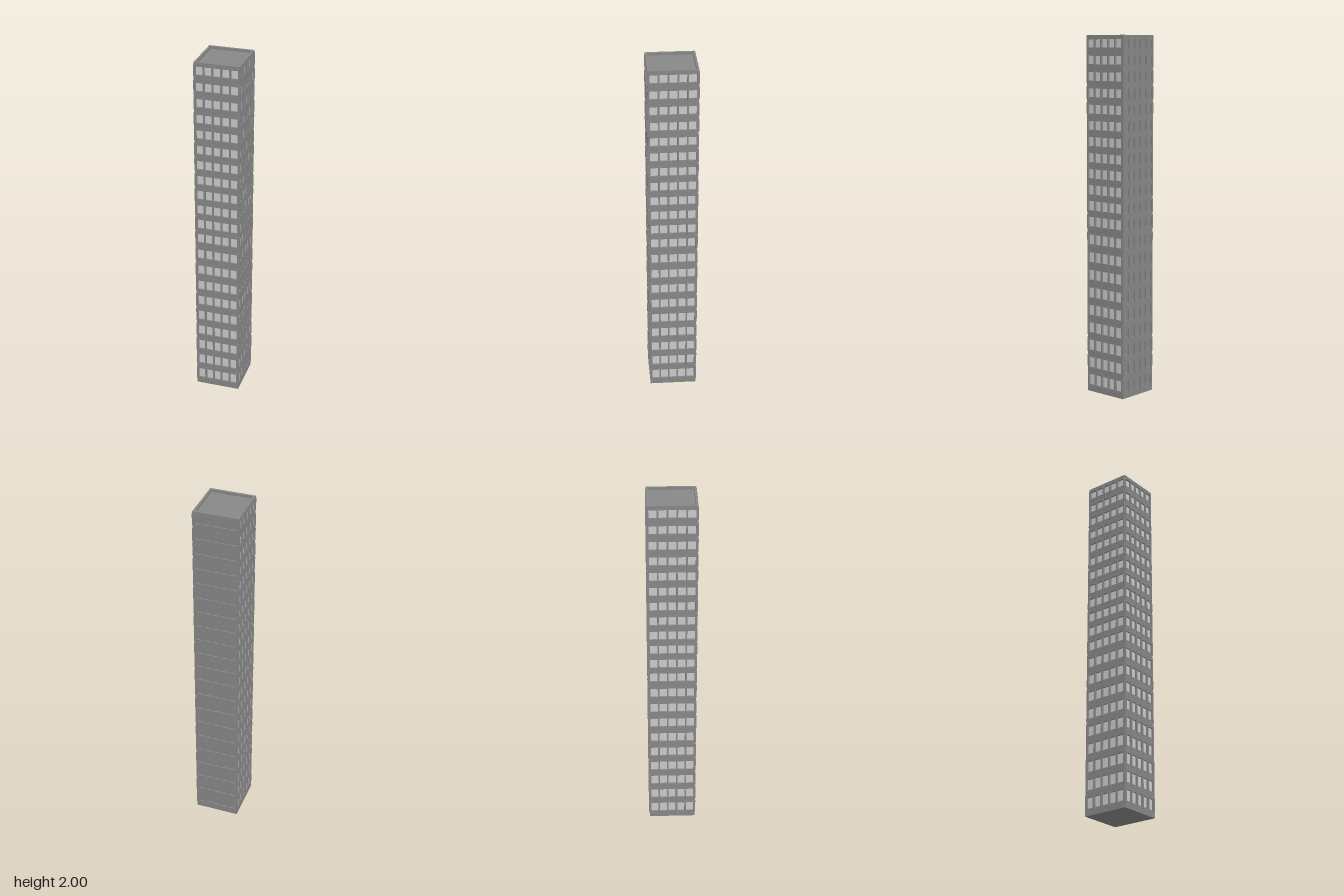
import * as THREE from 'three';
import { mergeGeometries } from 'three/addons/utils/BufferGeometryUtils.js';

const HX = 0.125, HZ = 0.133;   // half sizes of the wall line
const RECESS = 0.01, PROUD = 0.003;

const wallMat = new THREE.MeshStandardMaterial({ color: 0x888888 });
const glassMat = new THREE.MeshStandardMaterial({ color: 0xcccccc });

// Axis-aligned box from its limits
function box(x0, x1, y0, y1, z0, z1) {
  return new THREE.BoxGeometry(x1 - x0, y1 - y0, z1 - z0)
    .translate((x0 + x1) / 2, (y0 + y1) / 2, (z0 + z1) / 2);
}

// Window rows: storeys get slightly lower in the upper half
const rows = [];
for (let i = 0; i < 21; i++) {
  const centre = i < 10 ? 0.069 + i * 0.1005 : 0.9735 + (i - 9) * 0.0892;
  const half = 0.03 - 0.0075 * i / 20;
  rows.push({ y0: centre - half, y1: centre + half });
}

// Piers and panes of one facade, facing +z before turning
function facade(halfWidth, halfDepth, angle) {
  const piers = [], panes = [];
  const end = halfWidth - 0.002, pierHalf = 0.0045;
  const pitch = (2 * end - 2 * pierHalf) / 5;
  for (const { y0, y1 } of rows) {
    for (let k = 0; k <= 5; k++) {
      const x = -end + pierHalf + k * pitch;
      piers.push(box(x - pierHalf, x + pierHalf, y0 - 0.012, y1 + 0.012,
        halfDepth - RECESS, halfDepth + PROUD));
      if (k < 5) {
        panes.push(box(x + pierHalf, x + pitch - pierHalf, y0, y1,
          halfDepth - RECESS - 0.002, halfDepth - RECESS + 0.002));
      }
    }
  }
  return [piers, panes].map(list => mergeGeometries(list).rotateY(angle));
}

export function createModel() {
  const tower = new THREE.Group();
  tower.name = 'tower';
  const add = (name, geometry, material) => {
    const mesh = new THREE.Mesh(geometry, material);
    mesh.name = name;
    tower.add(mesh);
  };

  // Inner core, whose top is the sunken roof
  const cx = HX - RECESS, cz = HZ - RECESS;
  add('coreAndRoof', box(-cx, cx, 0.001, 1.985, -cz, cz), wallMat);

  // Solid wall bands between the window rows
  const bands = [box(-HX, HX, 0, rows[0].y0, -HZ, HZ)];
  for (let i = 0; i < rows.length - 1; i++) {
    bands.push(box(-HX, HX, rows[i].y1, rows[i + 1].y0, -HZ, HZ));
  }
  add('wallBands', mergeGeometries(bands), wallMat);

  // Corner posts
  const posts = [];
  for (const sx of [-1, 1]) for (const sz of [-1, 1]) {
    posts.push(box(-0.005, 0.005, 0.005, 1.98, -0.005, 0.005)
      .translate(sx * (HX - 0.0055), 0, sz * (HZ - 0.0055)));
  }
  add('cornerPosts', mergeGeometries(posts), wallMat);

  // Parapet ring
  const ring = new THREE.Shape([
    new THREE.Vector2(-HX, -HZ), new THREE.Vector2(HX, -HZ),
    new THREE.Vector2(HX, HZ), new THREE.Vector2(-HX, HZ)]);
  const ix = HX - 0.012, iz = HZ - 0.012;
  ring.holes.push(new THREE.Path([
    new THREE.Vector2(-ix, -iz), new THREE.Vector2(-ix, iz),
    new THREE.Vector2(ix, iz), new THREE.Vector2(ix, -iz)]));
  const top = rows[rows.length - 1].y1;
  const parapet = new THREE.ExtrudeGeometry(ring, { depth: 2 - top, bevelEnabled: false })
    .rotateX(-Math.PI / 2).translate(0, top, 0);
  add('parapet', parapet, wallMat);

  // Four facades; the rear panes match the wall
  const sides = [
    ['front', HX, HZ, 0, glassMat],
    ['left', HZ, HX, Math.PI / 2, glassMat],
    ['back', HX, HZ, Math.PI, wallMat],
    ['right', HZ, HX, -Math.PI / 2, glassMat]];
  for (const [side, w, d, angle, paneMat] of sides) {
    const [piers, panes] = facade(w, d, angle);
    add(side + 'Piers', piers, wallMat);
    add(side + 'Windows', panes, paneMat);
  }
  return tower;
}
